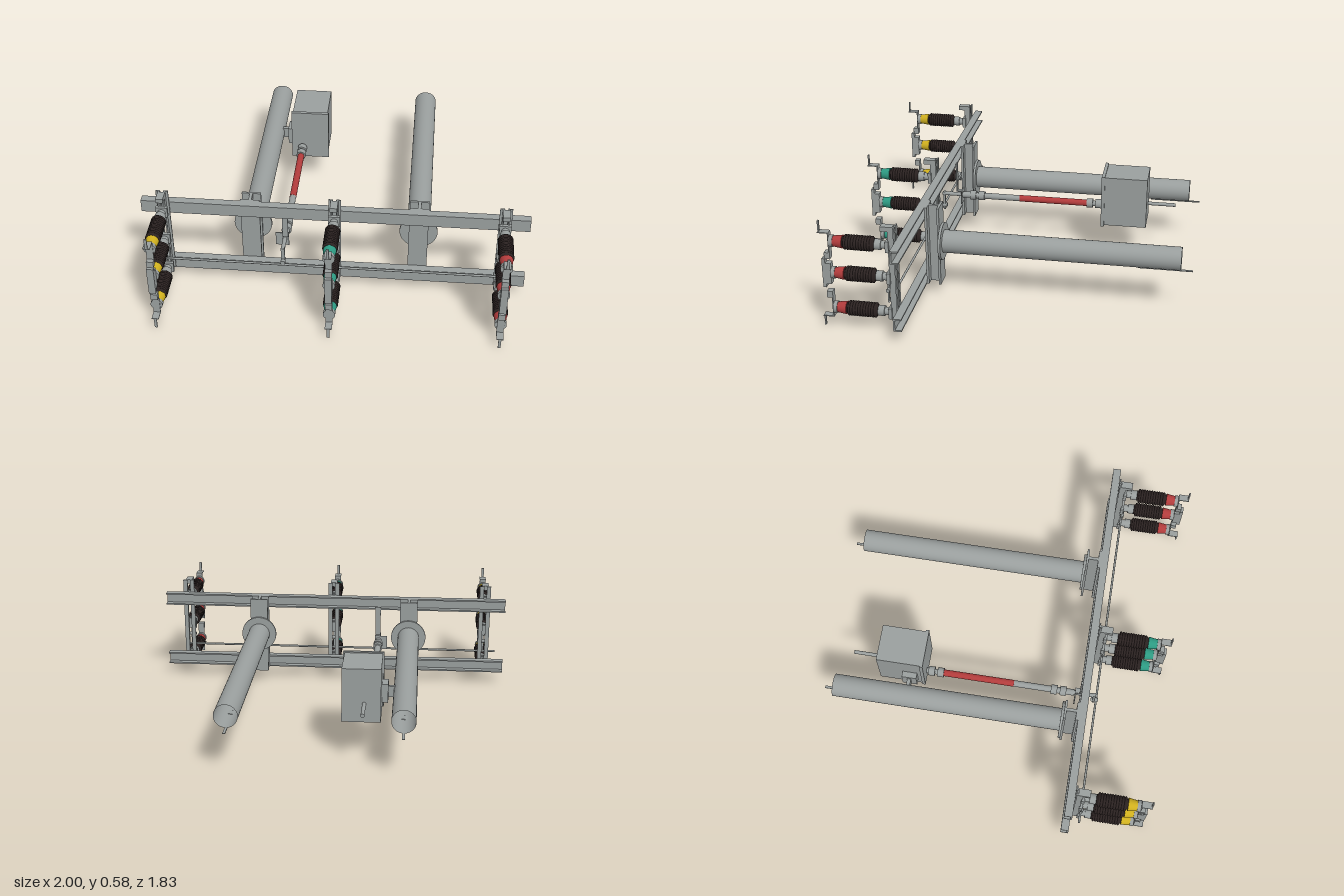
import * as THREE from 'three';

const mat = (name, color, extra = {}) => Object.assign(new THREE.MeshStandardMaterial({ color, ...extra }), { name });

export function createModel() {
  const steel = mat('galvanised steel', 0x9a9f9e);
  const sheet = mat('open tube steel', 0x9a9f9e, { side: THREE.DoubleSide });
  const dark = mat('dark insulator', 0x2b2221);
  const red = mat('red', 0xb23c3c);
  const yellow = mat('yellow', 0xd0b01e);
  const teal = mat('teal', 0x2d9a82);

  const root = new THREE.Group();
  root.name = 'switchAssembly';

  const group = (name, parent = root) => {
    const g = new THREE.Group();
    g.name = name;
    parent.add(g);
    return g;
  };
  // Box from its limits on each axis
  const box = (parent, name, x0, x1, y0, y1, z0, z1, m = steel) => {
    const mesh = new THREE.Mesh(new THREE.BoxGeometry(x1 - x0, y1 - y0, z1 - z0), m);
    mesh.position.set((x0 + x1) / 2, (y0 + y1) / 2, (z0 + z1) / 2);
    mesh.name = name;
    parent.add(mesh);
    return mesh;
  };
  // Cylinder along z; r0 at z0, r1 at z1
  const rod = (parent, name, x, y, z0, z1, r0, m = steel, r1 = r0, sides = 24, open = false) => {
    const g = new THREE.CylinderGeometry(r1, r0, z1 - z0, sides, 1, open).rotateX(Math.PI / 2);
    const mesh = new THREE.Mesh(g, m);
    mesh.position.set(x, y, (z0 + z1) / 2);
    mesh.name = name;
    parent.add(mesh);
    return mesh;
  };
  // Cylinder along x
  const crossRod = (parent, name, x0, x1, y, z, r) => {
    const mesh = new THREE.Mesh(new THREE.CylinderGeometry(r, r, x1 - x0, 16).rotateZ(Math.PI / 2), steel);
    mesh.position.set((x0 + x1) / 2, y, z);
    mesh.name = name;
    parent.add(mesh);
  };

  // Two horizontal channels, open towards the back
  const channel = new THREE.Shape([
    [0.475, 0], [0.517, 0], [0.517, 0.07], [0.475, 0.07],
    [0.475, 0.062], [0.508, 0.062], [0.508, 0.008], [0.475, 0.008],
  ].map(([z, y]) => new THREE.Vector2(-z, y)));
  for (const y of [0.07, 0.442]) {
    const g = new THREE.ExtrudeGeometry(channel, { depth: 2, bevelEnabled: false });
    const rail = new THREE.Mesh(g.rotateY(Math.PI / 2), steel);
    rail.position.set(-1, y, 0);
    rail.name = 'rail';
    root.add(rail);
  }

  // Support columns with their long tubes
  for (const x of [-0.44, 0.435]) {
    const s = group('support');
    box(s, 'columnFrontFlange', x - 0.05, x + 0.05, 0.07, 0.512, 0.462, 0.475);
    box(s, 'columnWeb', x - 0.008, x + 0.008, 0.07, 0.512, 0.41, 0.462);
    box(s, 'columnBackFlange', x - 0.05, x + 0.05, 0.07, 0.512, 0.398, 0.41);
    rod(s, 'tubeFlange', x, 0.305, 0.385, 0.398, 0.1, steel, 0.1, 40);
    rod(s, 'tube', x, 0.305, -0.86, 0.385, 0.061, sheet, 0.061, 40, true);
    box(s, 'earthTab', x - 0.007, x + 0.007, 0.236, 0.24, -0.92, -0.64);
    box(s, 'earthPad', x - 0.015, x + 0.015, 0.24, 0.247, -0.69, -0.64);
  }

  // Ribbed insulator body
  const profile = [[0, 0], [0.028, 0], [0.028, 0.008]];
  for (let i = 0; i < 11; i++) {
    const a = 0.008 + i * 0.0136;
    profile.push([0.035, a + 0.001], [0.039, a + 0.004], [0.039, a + 0.009], [0.035, a + 0.0125]);
  }
  profile.push([0.028, 0.159], [0.028, 0.167], [0, 0.167]);
  const body = new THREE.LatheGeometry(profile.map(([r, y]) => new THREE.Vector2(r, y)), 24).rotateX(Math.PI / 2);

  const phases = [[-0.882, yellow, 'yellowPhase'], [0.005, teal, 'tealPhase'], [0.87, red, 'redPhase']];
  for (const [x, colour, name] of phases) {
    const p = group(name);
    p.position.x = x;

    // Mounting post made of two angles
    for (const s of [-1, 1]) {
      const span = (a, b) => (s > 0 ? [a, b] : [-b, -a]);
      box(p, 'postFace', ...span(0.008, 0.032), 0.075, 0.585, 0.517, 0.524);
      box(p, 'postSide', ...span(0.012, 0.019), 0.075, 0.585, 0.524, 0.556);
    }
    box(p, 'postCap', -0.019, 0.019, 0.56, 0.585, 0.53, 0.592);

    // Three stacked insulators
    for (const y of [0.108, 0.305, 0.48]) {
      box(p, 'insulatorFoot', -0.03, 0.03, y - 0.03, y + 0.03, 0.55, 0.568);
      rod(p, 'insulatorNeck', 0, y, 0.568, 0.592, 0.02);
      rod(p, 'insulatorCollar', 0, y, 0.592, 0.628, 0.027);
      const m = new THREE.Mesh(body, dark);
      m.position.set(0, y, 0.625);
      m.name = 'insulator';
      p.add(m);
      rod(p, 'phaseBand', 0, y, 0.79, 0.838, 0.034, colour, 0.027);
      rod(p, 'insulatorTip', 0, y, 0.838, 0.858, 0.031);
    }

    // Terminals, upper and lower mirrored about the middle
    for (const [yc, s] of [[0.48, 1], [0.108, -1]]) {
      const slab = (n, w, a, b, z0, z1) =>
        box(p, n, -w, w, yc + Math.min(s * a, s * b), yc + Math.max(s * a, s * b), z0, z1);
      slab('terminalBack', 0.018, -0.065, 0.05, 0.857, 0.863);
      slab('terminalLedge', 0.018, 0.045, 0.05, 0.857, 0.914);
      slab('terminalBlade', 0.007, 0.045, 0.106, 0.907, 0.914);
      slab('contactBlock', 0.018, -0.095, -0.06, 0.857, 0.887);
    }
    box(p, 'middleBlock', -0.018, 0.018, 0.245, 0.36, 0.857, 0.885);
    box(p, 'bridgePlate', -0.018, 0.018, 0.225, 0.385, 0.885, 0.902);

    // Lever joining the phase to the drive rod
    box(p, 'lever', -0.005, 0.005, 0.165, 0.29, 0.565, 0.573);
    crossRod(p, 'leverPivot', -0.025, 0.025, 0.235, 0.567, 0.01);
  }
  crossRod(root, 'driveRod', -0.955, 0.885, 0.172, 0.565, 0.006);

  // Drive cabinet with clamp and rear conduit
  const c = group('driveCabinet');
  box(c, 'cabinet', -0.32, -0.12, 0.2, 0.487, -0.635, -0.4);
  box(c, 'cabinetDoor', -0.327, -0.113, 0.193, 0.493, -0.4, -0.382);
  rod(c, 'conduit', -0.235, 0.3, -0.79, -0.635, 0.01);
  box(c, 'clampPlate', -0.352, -0.32, 0.255, 0.355, -0.5, -0.42);
  box(c, 'clampArm', -0.39, -0.352, 0.275, 0.335, -0.47, -0.45);

  // Drive shaft with a red middle and jointed ends
  const d = group('driveShaft');
  const X = -0.265, Y = 0.263;
  rod(d, 'shaftMiddle', X, Y, -0.285, 0.105, 0.0185, red);
  rod(d, 'shaftFront', X, Y, 0.105, 0.44, 0.0175);
  rod(d, 'shaftBack', X, Y, -0.385, -0.285, 0.015);
  for (const [z0, z1] of [[-0.37, -0.335], [-0.32, -0.285], [0.31, 0.345], [0.36, 0.395]]) {
    rod(d, 'coupling', X, Y, z0, z1, 0.026);
  }
  rod(d, 'shaftEnd', X, Y, 0.44, 0.56, 0.011);

  // Bearing bracket and crank hung between the rails
  box(d, 'bearingPlate', -0.315, -0.245, 0.21, 0.29, 0.443, 0.449);
  box(d, 'bracketStrip', -0.275, -0.245, 0.29, 0.46, 0.468, 0.475);
  box(d, 'bracketFoot', -0.275, -0.245, 0.286, 0.292, 0.443, 0.475);
  box(d, 'crank', -0.275, -0.255, 0.165, 0.275, 0.545, 0.556);
  rod(d, 'crankPin', X, 0.19, 0.535, 0.575, 0.012);

  return root;
}
